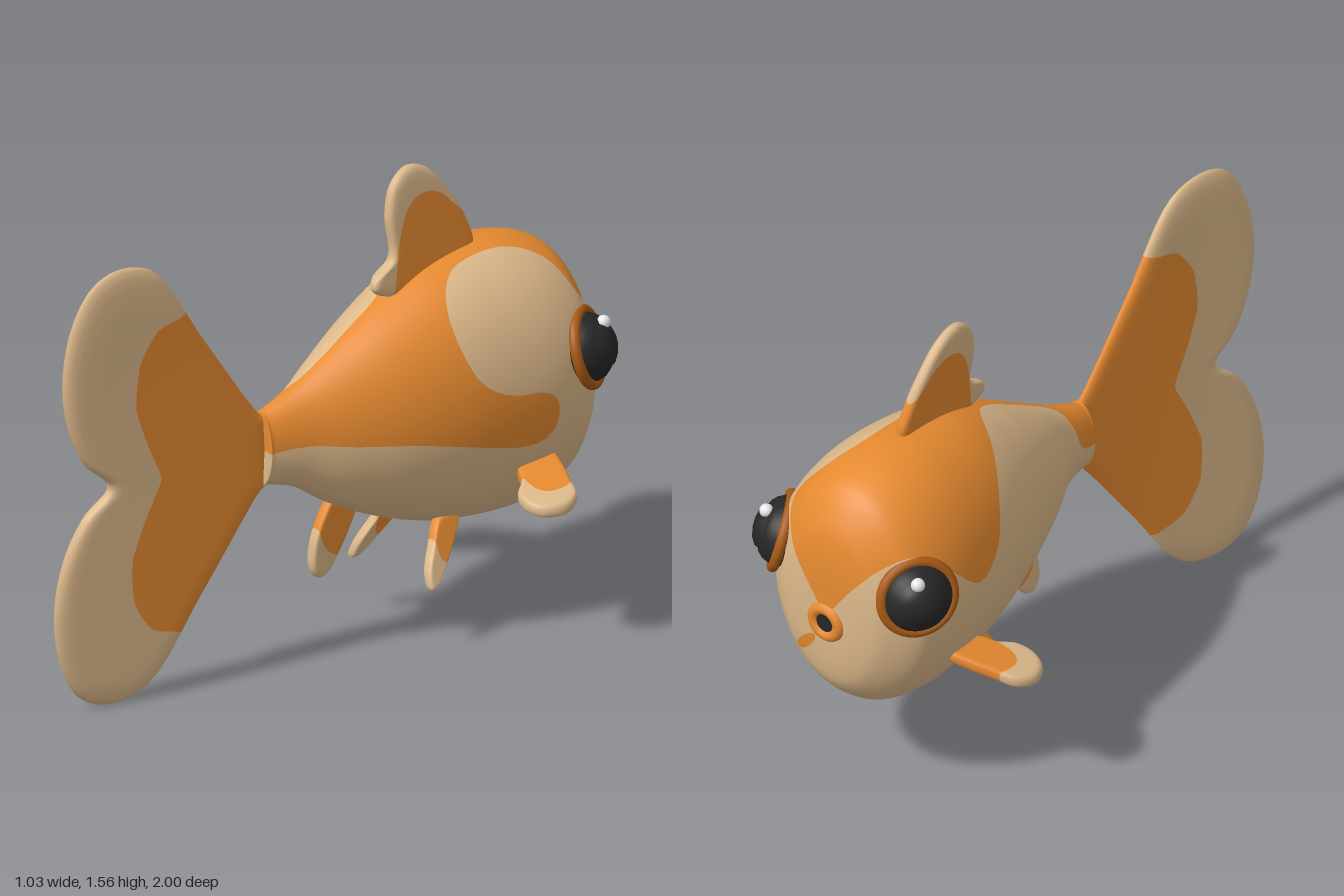
import * as THREE from 'three';

const mat = (name, color) => Object.assign(new THREE.MeshStandardMaterial({ color }), { name });

// Smooth closed loop through 2D points
function loop(points, n) {
  const curve = new THREE.CatmullRomCurve3(points.map(([x, y]) => new THREE.Vector3(x, y, 0)), true, 'centripetal');
  return curve.getPoints(n).slice(0, n);
}

// Signed distance to a closed loop, positive inside
function inside(poly, x, y) {
  let d = Infinity, sign = -1;
  poly.forEach((a, i) => {
    const b = poly[(i + 1) % poly.length], ex = b.x - a.x, ey = b.y - a.y;
    const t = THREE.MathUtils.clamp(((x - a.x) * ex + (y - a.y) * ey) / (ex * ex + ey * ey || 1), 0, 1);
    d = Math.min(d, Math.hypot(x - a.x - t * ex, y - a.y - t * ey));
    if ((a.y > y) !== (b.y > y) && x < a.x + ((y - a.y) / ey) * ex) sign = -sign;
  });
  return sign * d;
}

// Closed skin of rows x cols; at(i, j) gives [x, y, z, paint]; paint > 0 takes the first material
function paintedSkin(rows, cols, at) {
  const pos = [], paint = [], index = [];
  for (let i = 0; i < rows; i++) for (let j = 0; j < cols; j++) {
    const [x, y, z, f] = at(i, j);
    pos.push(x, y, z);
    paint.push(f);
    if (i === rows - 1) continue;
    const k = (j + 1) % cols, a = i * cols + j, b = i * cols + k;
    index.push(a, b, a + cols, b, b + cols, a + cols);
  }
  // Turn the faces outward
  const V = i => new THREE.Vector3().fromArray(pos, i * 3);
  let volume = 0;
  for (let i = 0; i < index.length; i += 3) volume += V(index[i]).dot(V(index[i + 1]).cross(V(index[i + 2])));
  if (volume < 0) index.reverse();
  const skin = new THREE.BufferGeometry();
  skin.setAttribute('position', new THREE.Float32BufferAttribute(pos, 3));
  skin.setIndex(index);
  skin.computeVertexNormals();
  const nor = skin.attributes.normal.array;
  // Cut every triangle along the paint edge
  const P = [], N = [], geo = new THREE.BufferGeometry();
  [1, -1].forEach((side, m) => {
    const start = P.length / 3;
    for (let i = 0; i < index.length; i += 3) {
      const tri = index.slice(i, i + 3).map(k => ({
        f: paint[k] * side, p: V(k), n: new THREE.Vector3().fromArray(nor, k * 3) }));
      const cut = [];
      tri.forEach((a, k) => {
        const b = tri[(k + 1) % 3];
        if (a.f >= 0) cut.push(a);
        if ((a.f >= 0) !== (b.f >= 0)) {
          const t = a.f / (a.f - b.f);
          cut.push({ p: a.p.clone().lerp(b.p, t), n: a.n.clone().lerp(b.n, t).normalize() });
        }
      });
      for (let k = 1; k + 1 < cut.length; k++) for (const c of [cut[0], cut[k], cut[k + 1]]) {
        P.push(...c.p.toArray());
        N.push(...c.n.toArray());
      }
    }
    geo.addGroup(start, P.length / 3 - start, m);
  });
  geo.setAttribute('position', new THREE.Float32BufferAttribute(P, 3));
  geo.setAttribute('normal', new THREE.Float32BufferAttribute(N, 3));
  return geo;
}

// Body stations: z, top, bottom, centre x, half width
const STATIONS = [
  [0.255, 0.77, 0.76, -0.03, 0.003], [0.26, 0.88, 0.645, -0.03, 0.058], [0.24, 0.89, 0.638, -0.03, 0.064],
  [0.13, 0.94, 0.605, -0.015, 0.095], [0, 1.02, 0.52, -0.008, 0.16], [-0.18, 1.13, 0.432, 0, 0.235],
  [-0.38, 1.22, 0.365, 0, 0.295], [-0.58, 1.255, 0.337, 0, 0.325], [-0.72, 1.25, 0.338, 0, 0.33],
  [-0.83, 1.22, 0.365, 0, 0.313], [-0.89, 1.18, 0.405, 0, 0.28], [-0.945, 1.1, 0.47, 0, 0.215],
  [-0.968, 1.03, 0.53, 0, 0.165], [-0.98, 0.93, 0.63, 0, 0.1], [-0.984, 0.765, 0.755, 0, 0.003]];
// Orange coat on the unrolled body: z, angle from the back in degrees (positive on +x)
const DEG = 0.0055;
const COAT = [
  [0.35, 89], [0.2, 90], [0, 94], [-0.2, 98.5], [-0.4, 104.5], [-0.55, 108.5], [-0.64, 108], [-0.69, 102], [-0.69, 92],
  [-0.64, 87], [-0.5, 84], [-0.4, 75], [-0.355, 59], [-0.35, 42], [-0.38, 28], [-0.45, 17], [-0.57, 14], [-0.7, 17],
  [-0.8, 28], [-0.87, 48], [-0.95, 52], [-1.1, 52], [-1.1, -50], [-0.95, -50], [-0.82, -57], [-0.7, -76],
  [-0.6, -86], [-0.5, -78], [-0.43, -58], [-0.35, -36], [-0.24, -6], [-0.1, -2], [0.1, -6], [0.16, -50], [0.2, -90], [0.35, -95]];

function bodyGeometry() {
  const side = new THREE.CatmullRomCurve3(STATIONS.map(s => new THREE.Vector3(s[0], s[1], s[2])), false, 'catmullrom');
  const plan = new THREE.CatmullRomCurve3(STATIONS.map(s => new THREE.Vector3(s[3], s[4], 0)), false, 'catmullrom');
  const coat = loop(COAT.map(([z, a]) => [z, a * DEG]), 144);
  const rows = 85, cols = 80;
  return paintedSkin(rows, cols, (i, j) => {
    const s = side.getPoint(i / (rows - 1)), w = plan.getPoint(i / (rows - 1));
    const deg = (j / cols) * 360 - 180, a = THREE.MathUtils.degToRad(deg);
    const x = w.x + w.y * Math.sin(a), y = (s.y + s.z) / 2 + ((s.y - s.z) / 2) * Math.cos(a);
    let f = inside(coat, s.x, deg * DEG);
    // Small fleck under the mouth
    if (s.x < -0.85) {
      const dx = x - 0.09, dy = y - 0.615;
      f = Math.max(f, 0.019 - Math.hypot((dx * 0.67 - dy * 0.74) / 3.6, dx * 0.74 + dy * 0.67));
    }
    return [x, y, s.x, f];
  });
}

// Rounded plate: outline shrunk to its centre on both faces; place(p, q, t) sets it in space
function finGeometry(outline, centre, patch, half, place, n = 64) {
  const edge = loop(outline, n), coat = loop(patch, 80);
  const face = [[0.001, 1], [0.2, 1], [0.4, 1], [0.55, 1], [0.7, 1], [0.82, 1], [0.9, 0.95], [0.95, 0.8], [0.985, 0.5]];
  const rings = [...face, [1, 0], ...face.map(([s, t]) => [s, -t]).reverse()];
  return paintedSkin(rings.length, n, (i, j) => {
    const [s, t] = rings[i];
    const p = centre[0] + (edge[j].x - centre[0]) * s, q = centre[1] + (edge[j].y - centre[1]) * s;
    return [...place(p, q, t * half), inside(coat, p, q)];
  });
}

export function createModel() {
  const fish = new THREE.Group();
  fish.name = 'fish';
  const orange = mat('orange', 0xe68a30), cream = mat('cream', 0xdcb88a);
  const rimBrown = mat('rimBrown', 0xa85a14), black = mat('black', 0x262626), white = mat('white', 0xf2f2f2);
  const coatMats = [orange, cream];
  const add = (name, geo, material, parent = fish) => {
    const mesh = new THREE.Mesh(geo, material);
    mesh.name = name;
    parent.add(mesh);
    return mesh;
  };

  add('body', bodyGeometry(), coatMats);

  // Tail fan, swept to one side
  const upper = [[0.235, 0.86], [0.27, 0.89], [0.48, 1.19], [0.67, 1.465], [0.8, 1.503], [0.9, 1.465], [0.97, 1.35],
    [1, 1.17], [0.975, 0.99], [0.91, 0.85]];
  const flip = pts => pts.map(([z, y]) => [z, 1.508 - y]).reverse();
  const tailPatch = [[0.1, 1.2], [0.45, 1.33], [0.59, 1.29], [0.67, 1.265], [0.735, 1.16], [0.745, 1.02], [0.7, 0.88]];
  add('tailFin', finGeometry([...upper, [0.82, 0.754], ...flip(upper)], [0.6, 0.754],
    [...tailPatch, [0.645, 0.754], ...flip(tailPatch)], 0.026, (z, y, t) => {
      const k = Math.max(0, (z - 0.25) / 0.75);
      return [-0.022 - 0.13 * k ** 1.15 + 0.05 * (y - 0.754) * k + t * (0.6 + 0.4 * k), y, z];
    }, 110), coatMats);

  // Dorsal fin
  add('dorsalFin', finGeometry(
    [[-0.185, 1.19], [-0.19, 1.225], [-0.265, 1.28], [-0.26, 1.42], [-0.29, 1.52], [-0.36, 1.566], [-0.44, 1.54],
      [-0.52, 1.45], [-0.58, 1.35], [-0.607, 1.24], [-0.5, 1.18], [-0.3, 1.15]], [-0.4, 1.3],
    [[-0.27, 1.1], [-0.275, 1.25], [-0.3, 1.36], [-0.34, 1.44], [-0.4, 1.47], [-0.47, 1.455], [-0.53, 1.4],
      [-0.58, 1.36], [-0.7, 1.3], [-0.65, 1.1]], 0.022,
    (z, y, t) => [0.008 - 0.09 * (y - 1.23) + t, y, z]), coatMats);

  // Anal fin
  add('analFin', finGeometry(
    [[-0.13, 0.48], [-0.1, 0.41], [-0.05, 0.33], [-0.005, 0.275], [0.03, 0.268], [0.055, 0.3], [0.05, 0.39],
      [0.01, 0.48], [-0.03, 0.53], [-0.09, 0.53]], [-0.02, 0.41],
    [[0.04, 0.55], [0.035, 0.44], [0.01, 0.37], [-0.03, 0.335], [-0.07, 0.33], [-0.2, 0.4], [-0.15, 0.6]], 0.02,
    (z, y, t) => [-0.015 + t, y, z]), coatMats);

  for (const s of [1, -1]) {
    const label = s > 0 ? 'left' : 'right';

    // Pectoral fin
    add(label + 'PectoralFin', finGeometry(
      [[0.27, -0.71], [0.34, -0.695], [0.42, -0.66], [0.49, -0.625], [0.515, -0.56], [0.485, -0.49], [0.43, -0.465],
        [0.37, -0.48], [0.33, -0.53], [0.27, -0.57]], [0.39, -0.58],
      [[0.2, -0.8], [0.36, -0.74], [0.43, -0.67], [0.445, -0.62], [0.435, -0.56], [0.4, -0.535], [0.35, -0.535], [0.2, -0.56]],
      0.022, (x, z, t) => [s * x, 0.553 - 0.22 * (x - 0.33) - 0.15 * (z + 0.65) + t, z]), coatMats);

    // Pelvic fin
    add(label + 'PelvicFin', finGeometry(
      [[-0.45, 0.41], [-0.43, 0.37], [-0.36, 0.28], [-0.285, 0.205], [-0.268, 0.205], [-0.27, 0.25], [-0.31, 0.325],
        [-0.37, 0.41]], [-0.35, 0.315],
      [[-0.5, 0.45], [-0.46, 0.35], [-0.37, 0.275], [-0.335, 0.285], [-0.325, 0.32], [-0.34, 0.45]], 0.019,
      (z, y, t) => [s * (0.115 + (0.4 - y) * 0.38 + t), y, z]), coatMats);

    // Bulging eye, built along +z and turned outward
    const eye = new THREE.Group();
    eye.name = label + 'Eye';
    eye.position.set(s * 0.275, 0.9, -0.862);
    eye.lookAt(s * (0.275 + 0.8), 0.9 + 0.24, -0.862 - 0.52);
    fish.add(eye);
    const profile = [[0, -0.08], [0.08, -0.07], [0.11, -0.045], [0.12, -0.01], [0.112, 0.015], [0.1, 0.04], [0.085, 0.055],
      [0.074, 0.06], [0.066, 0.074], [0.045, 0.086], [0.02, 0.092], [0, 0.093]];
    const ball = new THREE.LatheGeometry(profile.map(([r, h]) => new THREE.Vector2(r, h)), 40);
    add('eyeball', ball.rotateX(Math.PI / 2), black, eye);
    add('eyeRim', new THREE.TorusGeometry(0.12, 0.018, 12, 40), rimBrown, eye);
    add(label + 'EyeHighlight', new THREE.SphereGeometry(0.023, 16, 12), white).position.set(s * 0.308, 0.985, -0.9);
  }

  // Mouth ring and opening
  const lips = add('lips', new THREE.TorusGeometry(0.05, 0.021, 12, 32), orange);
  lips.position.set(0, 0.738, -0.979);
  const opening = add('mouthOpening', new THREE.CylinderGeometry(0.045, 0.045, 0.008, 28).rotateX(Math.PI / 2), black);
  opening.position.set(0, 0.738, -0.986);

  return fish;
}
